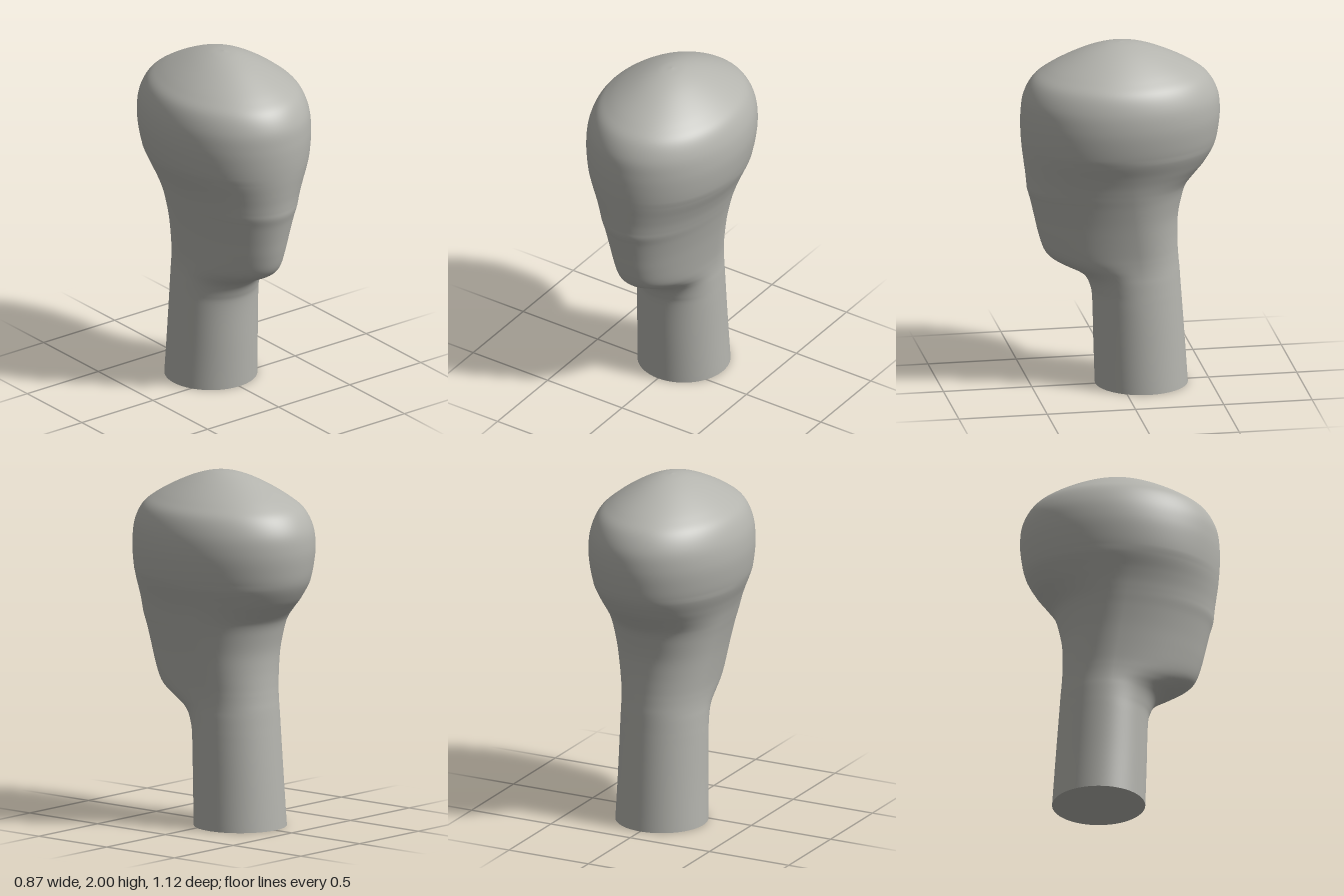
import * as THREE from 'three';

// Cross-sections: height, half width, front z, back z
const SECTIONS = [
  [0, 0.26, 0.14, -0.38], [0.25, 0.252, 0.148, -0.363], [0.5, 0.247, 0.155, -0.345],
  [0.58, 0.245, 0.17, -0.339], [0.64, 0.244, 0.2, -0.335], [0.68, 0.243, 0.25, -0.332],
  [0.72, 0.244, 0.33, -0.328], [0.76, 0.247, 0.395, -0.325], [0.81, 0.253, 0.433, -0.322],
  [0.9, 0.268, 0.462, -0.32], [1, 0.287, 0.485, -0.325], [1.1, 0.31, 0.508, -0.345],
  [1.16, 0.326, 0.525, -0.363], [1.2, 0.337, 0.529, -0.387], [1.25, 0.352, 0.534, -0.43],
  [1.31, 0.374, 0.542, -0.48], [1.4, 0.41, 0.553, -0.53], [1.5, 0.43, 0.56, -0.552],
  [1.6, 0.437, 0.559, -0.56], [1.7, 0.425, 0.545, -0.547], [1.79, 0.388, 0.497, -0.497],
  [1.85, 0.325, 0.42, -0.42], [1.91, 0.24, 0.31, -0.31], [1.96, 0.15, 0.195, -0.195],
  [1.99, 0.07, 0.09, -0.09], [2, 0.001, 0.001, -0.001],
];

function createLoft() {
  const SIDES = 96, RINGS = 150;
  const curve = (f) => new THREE.CatmullRomCurve3(SECTIONS.map(f), false, 'catmullrom', 0.5);
  const outline = curve(([y, w]) => new THREE.Vector3(w, y, 0));
  const depth = curve(([y, , f, b]) => new THREE.Vector3(f, y, b));
  const pos = [], index = [];
  for (let i = 0; i <= RINGS; i++) {
    const { x: w, y } = outline.getPoint(i / RINGS);
    const { x: front, z: back } = depth.getPoint(i / RINGS);
    // The widest point moves from the neck axis to the skull centre
    const mid = -0.12 + 0.03 * Math.min(y / 0.5, 1) + 0.09 * THREE.MathUtils.smoothstep(y, 0.5, 1.4);
    const widest = y > 1.4 ? (front + back) / 2 : mid;
    for (let j = 0; j < SIDES; j++) {
      const a = (j / SIDES) * Math.PI * 2, c = Math.cos(a);
      pos.push(w * Math.sin(a), y, widest + c * (c > 0 ? front - widest : widest - back));
      if (i < RINGS) {
        const p = i * SIDES + j, q = i * SIDES + ((j + 1) % SIDES);
        index.push(p, q, p + SIDES, q, q + SIDES, p + SIDES);
      }
    }
  }
  const geo = new THREE.BufferGeometry();
  geo.setAttribute('position', new THREE.Float32BufferAttribute(pos, 3));
  geo.setIndex(index);
  geo.computeVertexNormals();
  return geo;
}

export function createModel() {
  const group = new THREE.Group();
  group.name = 'mannequinHead';
  const grey = new THREE.MeshStandardMaterial({ color: 0xb4b4ae });
  grey.name = 'warmGrey';

  // Neck, jaw and skull as one smooth skin
  const skin = new THREE.Mesh(createLoft(), grey);
  skin.name = 'headAndNeck';

  // Flat underside of the neck
  const base = new THREE.Mesh(new THREE.CircleGeometry(0.26, 96), grey);
  base.name = 'neckBase';
  base.rotation.x = Math.PI / 2;
  base.position.z = -0.12;

  group.add(skin, base);
  return group;
}
